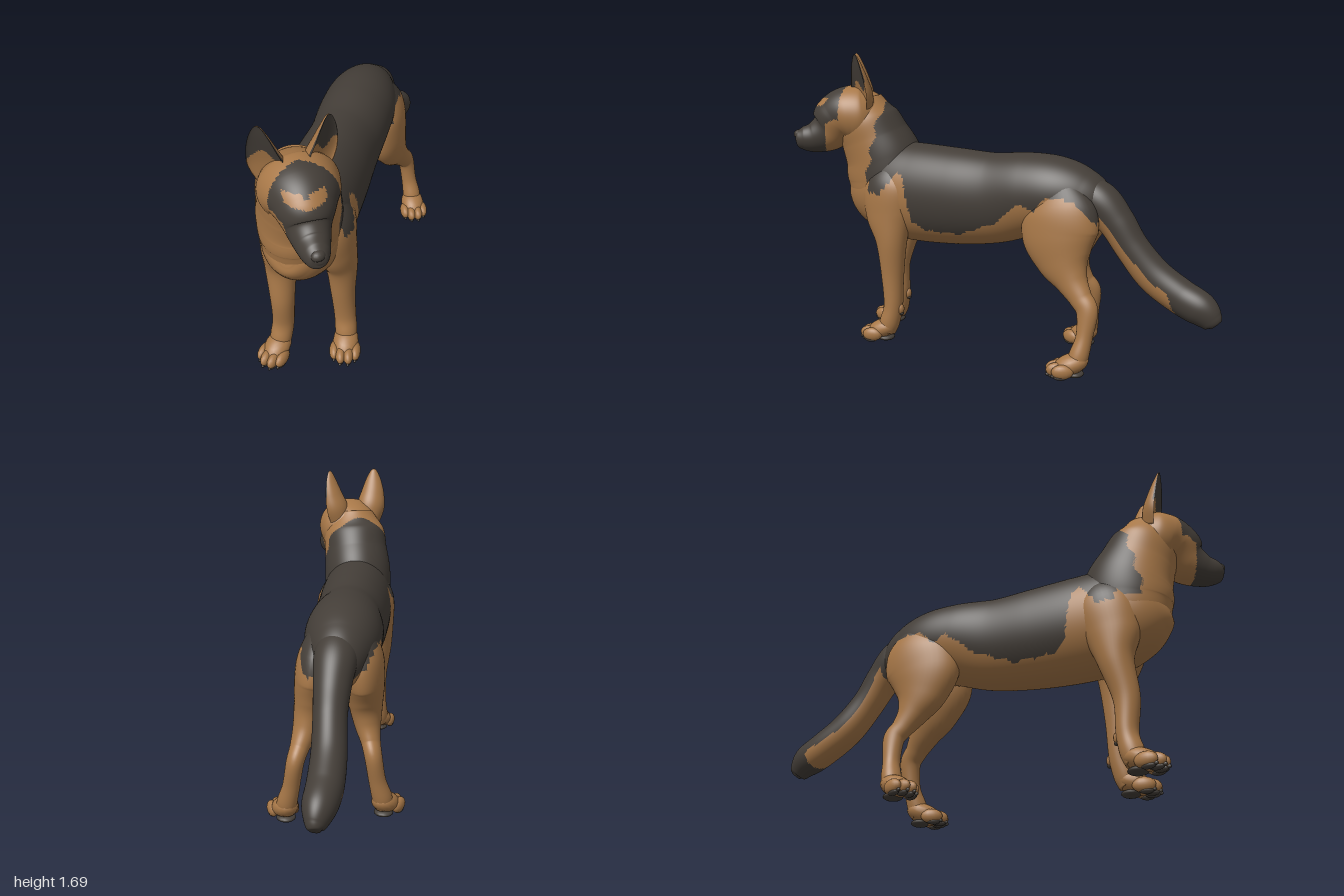
import * as THREE from 'three';

const V3 = (x, y, z) => new THREE.Vector3(x, y, z);
const tan = new THREE.MeshStandardMaterial({ color: 0xa87848 });
tan.name = 'tan fur';
const dark = new THREE.MeshStandardMaterial({ color: 0x443e38 });
dark.name = 'dark fur';

// Body heading and head heading (the head is turned a little)
const F = V3(-0.82, 0, 0.57), L = V3(0.57, 0, 0.82);
const HF = V3(-0.4, 0, 0.92), HL = V3(0.92, 0, 0.4);
const UP = V3(0, 1, 0);
const bodyPoint = (s, y, off) => V3(0, y, 0).addScaledVector(F, s).addScaledVector(L, off - 0.125);
const headPoint = (t, y, q) => V3(-0.8, y, 0.47).addScaledVector(HF, t).addScaledVector(HL, q);

// Smooth skin through stations { p, v, s }: v is the half size towards ref, s the half size sideways
function loft(name, stations, ref, isDark, { rings = 60, sides = 56, cup = 1 } = {}) {
  const path = new THREE.CatmullRomCurve3(stations.map(a => a.p), false, 'catmullrom');
  const size = new THREE.CatmullRomCurve3(stations.map(a => V3(a.v, a.s, 0)), false, 'catmullrom');
  const pos = [], groups = [[], []];
  const point = i => V3().fromArray(pos, i * 3);
  for (let i = 0; i <= rings; i++) {
    const k = i / rings, c = path.getPoint(k), t = path.getTangent(k), r = size.getPoint(k);
    const v = ref.clone().addScaledVector(t, -ref.dot(t)).normalize();
    const s = t.clone().cross(v);
    for (let j = 0; j < sides; j++) {
      const a = j / sides * Math.PI * 2, ca = Math.cos(a);
      const q = c.clone().addScaledVector(v, ca * r.x * (ca > 0 ? cup : 1)).addScaledVector(s, Math.sin(a) * r.y);
      pos.push(q.x, q.y, q.z);
    }
  }
  const first = pos.length / 3;
  for (const k of [0, 1]) pos.push(...path.getPoint(k).toArray());
  const face = (a, b, c, cosA) => {
    const m = point(a).add(point(b)).add(point(c)).divideScalar(3);
    groups[isDark(m, cosA) ? 1 : 0].push(a, b, c);
  };
  for (let j = 0; j < sides; j++) {
    const n = (j + 1) % sides, ca = Math.cos((j + 0.5) / sides * Math.PI * 2);
    for (let i = 0; i < rings; i++) {
      const a = i * sides + j, b = i * sides + n;
      face(a, b, a + sides, ca);
      face(b, b + sides, a + sides, ca);
    }
    face(first, n, j, ca);
    face(first + 1, rings * sides + j, rings * sides + n, ca);
  }
  const g = new THREE.BufferGeometry();
  g.setAttribute('position', new THREE.Float32BufferAttribute(pos, 3));
  g.setIndex([...groups[0], ...groups[1]]);
  g.addGroup(0, groups[0].length, 0);
  g.addGroup(groups[0].length, groups[1].length, 1);
  g.computeVertexNormals();
  const mesh = new THREE.Mesh(g, [tan, dark]);
  mesh.name = name;
  return mesh;
}

function ball(name, mat, p, sx, sy, sz) {
  const m = new THREE.Mesh(new THREE.SphereGeometry(1, 16, 12), mat);
  m.name = name;
  m.position.copy(p);
  m.scale.set(sx, sy, sz);
  return m;
}

// Lower edge of the dark saddle along the body
const edge = [[-0.62, 0.82], [-0.5, 0.94], [-0.35, 0.95], [-0.28, 0.87], [-0.19, 0.9], [-0.13, 0.86],
  [-0.06, 0.79], [0.06, 0.74], [0.18, 0.69], [0.4, 0.69], [0.48, 0.74], [0.53, 1.0], [0.57, 1.03],
  [0.61, 0.97], [0.68, 0.89], [0.75, 0.9], [0.78, 1.04], [0.85, 1.15]];
function saddle(p) {
  const s = p.dot(F);
  let i = 0;
  while (i < edge.length - 2 && s > edge[i + 1][0]) i++;
  const [a, b] = [edge[i], edge[i + 1]];
  const k = THREE.MathUtils.clamp((s - a[0]) / (b[0] - a[0]), 0, 1);
  return p.y > a[1] + (b[1] - a[1]) * k + 0.005 * Math.sin(s * 55);
}
const nape = p => p.y > 0.93 && -0.62 * p.x + 0.78 * p.z < 0.7 + (1.3 - p.y) * 0.2 + 0.012 * Math.sin(p.y * 45);

// Dark muzzle and eye mask with tan brows
function mask(p) {
  const d = p.clone().sub(V3(-0.8, 0, 0.47)), t = d.dot(HF), q = Math.abs(d.dot(HL));
  if (t > 0.19 && p.y < 1.36) return true;
  const brow = q < 0.095 && p.y > 1.385 + q * 0.15 && p.y < 1.44 && (q > 0.012 || p.y < 1.42);
  if (t > 0.04 + q * 0.4 && p.y > 1.31 + 0.012 * Math.sin(t * 60)) return !brow;
  return nape(p);
}

// Paw with four toes and dark pads, toes towards +z
function paw(p, dir) {
  const g = new THREE.Group();
  g.name = 'paw';
  const instep = ball('instep', tan, V3(0, 0.073, -0.02), 0.07, 0.056, 0.1);
  instep.rotation.x = 0.35;
  g.add(instep);
  [-0.057, -0.021, 0.021, 0.057].forEach((x, i) => {
    const z = i % 3 ? 0.055 : 0.027;
    g.add(ball('toe', tan, V3(x, 0.047, z), 0.029, 0.04, 0.06));
    g.add(ball('toePad', dark, V3(x, 0.016, z + 0.01), 0.02, 0.016, 0.038));
    g.add(ball('claw', dark, V3(x, 0.022, z + 0.048), 0.008, 0.01, 0.014));
  });
  g.add(ball('heelPad', dark, V3(0, 0.02, -0.04), 0.052, 0.02, 0.052));
  g.position.copy(p);
  g.rotation.y = Math.atan2(dir.x, dir.z);
  return g;
}

// Leg stations: along the body, height, sideways, half depth, half width
const frontLeg = [[0.63, 1.06, 0.1, 0.07, 0.06], [0.66, 0.93, 0.128, 0.165, 0.108], [0.66, 0.76, 0.145, 0.15, 0.104],
  [0.64, 0.6, 0.165, 0.094, 0.084], [0.635, 0.4, 0.168, 0.068, 0.066], [0.63, 0.22, 0.175, 0.056, 0.06],
  [0.65, 0.12, 0.185, 0.06, 0.06], [0.67, 0.06, 0.19, 0.054, 0.054]];
const hindLeg = [[-0.39, 1.02, 0.1, 0.1, 0.06], [-0.41, 0.87, 0.12, 0.205, 0.105], [-0.41, 0.73, 0.138, 0.215, 0.106],
  [-0.445, 0.6, 0.155, 0.155, 0.09], [-0.5, 0.5, 0.175, 0.093, 0.07], [-0.56, 0.42, 0.2, 0.065, 0.052],
  [-0.605, 0.355, 0.218, 0.06, 0.047], [-0.6, 0.22, 0.24, 0.046, 0.046], [-0.58, 0.12, 0.265, 0.054, 0.054],
  [-0.56, 0.06, 0.275, 0.05, 0.05]];

export function createModel() {
  const model = new THREE.Group();
  model.name = 'dog';

  // Trunk: along the body, top, bottom, half width
  const trunk = [[-0.67, 0.88, 0.79, 0.04], [-0.6, 0.99, 0.73, 0.11], [-0.49, 1.09, 0.72, 0.165], [-0.346, 1.15, 0.72, 0.2],
    [-0.177, 1.163, 0.69, 0.207], [0.039, 1.15, 0.625, 0.2], [0.277, 1.163, 0.595, 0.212], [0.524, 1.178, 0.59, 0.22],
    [0.712, 1.18, 0.61, 0.215], [0.86, 1.13, 0.68, 0.18], [0.945, 1.06, 0.77, 0.12], [0.98, 0.98, 0.87, 0.04]];
  model.add(loft('body', trunk.map(([s, t, b, w]) => ({ p: bodyPoint(s, (t + b) / 2, 0), v: (t - b) / 2, s: w })),
    UP, saddle, { rings: 150, sides: 96 }));

  // Legs: the right pair stands a little further forward
  for (const [name, stations, toe, splay, ahead] of [['frontLeg', frontLeg, 0.045, 0.2, 0.13], ['hindLeg', hindLeg, 0.04, 0.42, 0.115]]) {
    for (const side of [1, -1]) {
      const place = (s, y, off) => {
        const k = side > 0 ? 0 : THREE.MathUtils.clamp((1 - y) / 0.6, 0, 1);
        return bodyPoint(s + ahead * k, y, side * (off - 0.04 * k));
      };
      const leg = new THREE.Group();
      leg.name = (side > 0 ? 'left ' : 'right ') + name;
      leg.add(loft(name, stations.map(([s, y, o, a, b]) => ({ p: place(s, y, o), v: a, s: b })), F, saddle,
        { rings: 64, sides: 40 }));
      const end = stations[stations.length - 1];
      const dir = F.clone().addScaledVector(L, side * splay).normalize();
      const at = place(end[0], 0, end[2]).addScaledVector(dir, toe).setY(0);
      leg.add(paw(at, dir));
      if (name === 'frontLeg') {
        leg.add(ball('wrist', tan, place(0.583, 0.2, 0.175), 0.024, 0.034, 0.024));
        leg.add(ball('wristPad', dark, place(0.575, 0.174, 0.175), 0.014, 0.012, 0.014));
      }
      model.add(leg);
    }
  }

  const rows = a => a.map(([x, y, z, v, s]) => ({ p: V3(x, y, z), v, s }));

  // Tail
  model.add(loft('tail', rows([[0.3, 0.99, -0.35, 0.09, 0.09], [0.42, 0.92, -0.43, 0.11, 0.11], [0.51, 0.81, -0.485, 0.1, 0.095],
    [0.585, 0.68, -0.535, 0.093, 0.085], [0.68, 0.54, -0.61, 0.098, 0.088], [0.8, 0.445, -0.69, 0.097, 0.09],
    [0.905, 0.39, -0.745, 0.092, 0.082], [0.965, 0.335, -0.775, 0.062, 0.05], [0.98, 0.315, -0.785, 0.03, 0.025]]), UP,
  (p, c) => !(c < -0.15 - 0.1 * Math.sin(p.x * 14) && p.x < 0.82 && p.x > 0.42), { rings: 80 }));

  // Neck, rising out of the chest
  model.add(loft('neck', rows([[-0.66, 0.74, 0.3, 0.14, 0.12], [-0.69, 0.86, 0.325, 0.22, 0.19], [-0.695, 0.97, 0.33, 0.248, 0.205],
    [-0.71, 1.08, 0.345, 0.24, 0.205], [-0.74, 1.2, 0.385, 0.21, 0.195], [-0.77, 1.32, 0.425, 0.18, 0.185],
    [-0.785, 1.43, 0.445, 0.115, 0.12]]), F, nape, { rings: 100, sides: 84 }));

  // Head, from the back of the skull to the nose
  model.add(loft('head', rows([[-0.725, 1.34, 0.32, 0.05, 0.05], [-0.745, 1.34, 0.36, 0.125, 0.13], [-0.78, 1.33, 0.445, 0.178, 0.19],
    [-0.812, 1.325, 0.525, 0.178, 0.182], [-0.84, 1.295, 0.585, 0.158, 0.147], [-0.865, 1.235, 0.64, 0.122, 0.107],
    [-0.895, 1.203, 0.71, 0.092, 0.082], [-0.92, 1.198, 0.77, 0.07, 0.063], [-0.932, 1.2, 0.805, 0.045, 0.042],
    [-0.936, 1.2, 0.815, 0.015, 0.015]]), UP, mask, { rings: 110, sides: 90 }));
  model.add(ball('nose', dark, V3(-0.931, 1.222, 0.795), 0.036, 0.028, 0.03));

  // Eyes and cupped ears, the ears opening forwards and outwards
  for (const side of [1, -1]) {
    const label = side > 0 ? 'left ' : 'right ';
    model.add(ball(label + 'eye', dark, headPoint(0.135, 1.365, side * 0.088), 0.022, 0.018, 0.022));
    const open = HF.clone().addScaledVector(HL, side * 0.6).normalize();
    const ear = [[-0.02, 1.37, 0.105, 0.075, 0.075], [-0.015, 1.46, 0.128, 0.08, 0.088], [-0.008, 1.54, 0.144, 0.062, 0.074],
      [0, 1.62, 0.153, 0.038, 0.05], [0.004, 1.675, 0.156, 0.018, 0.024], [0.005, 1.693, 0.156, 0.006, 0.007]];
    model.add(loft(label + 'ear', ear.map(([t, y, q, v, s]) => ({ p: headPoint(t, y, side * q), v, s })), open,
      (p, c) => c > -0.1 && p.y > 1.51 + 0.03 * Math.sin(p.x * 60), { rings: 40, sides: 40, cup: -0.3 }));
  }
  return model;
}
